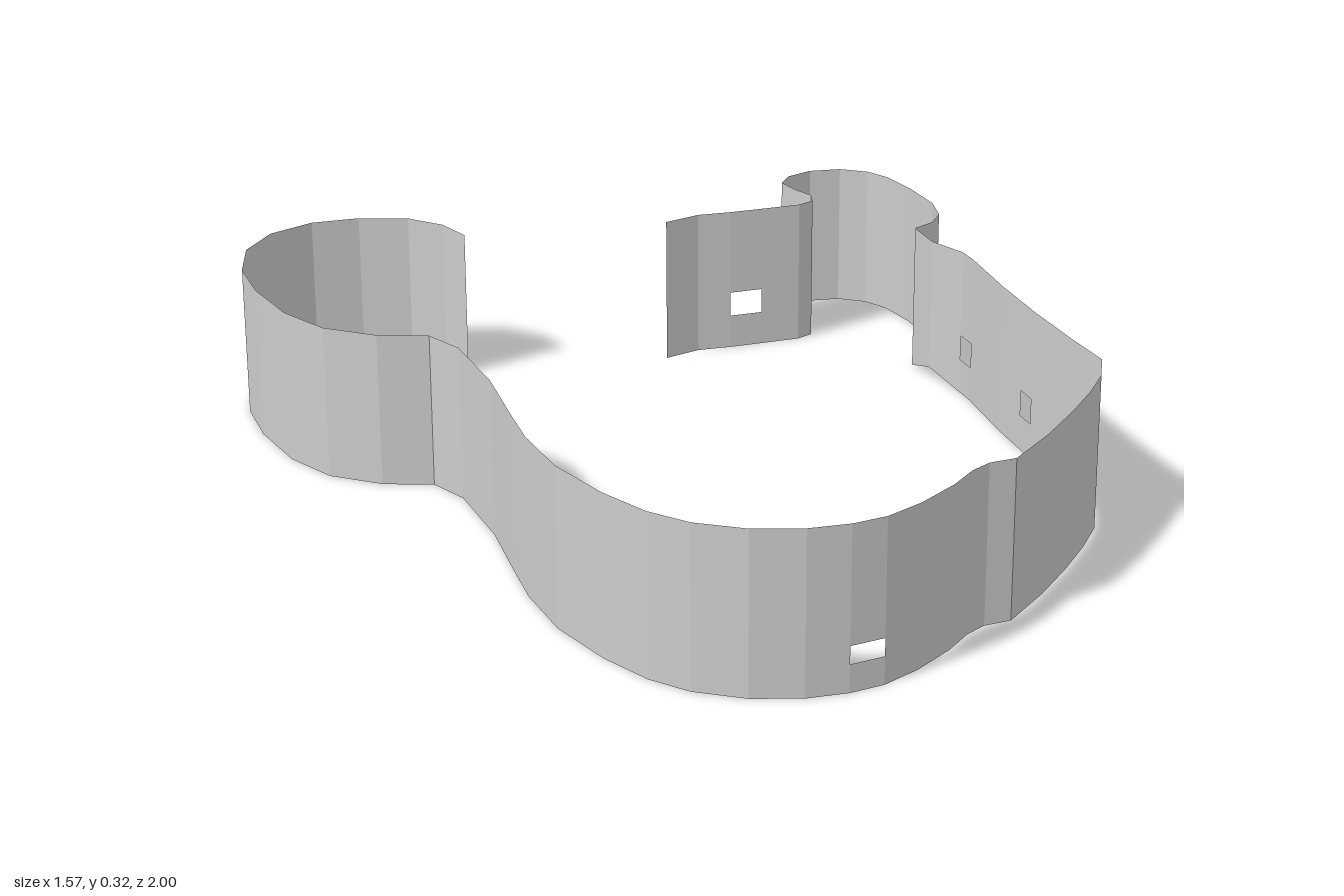
import * as THREE from 'three';

const HEIGHT = 0.32;

// Thin upright wall along a plan path. Each point is [x, z, base height, opening],
// where opening [low, high] cuts a window between this point and the next.
function wall(name, points) {
  const verts = [];
  const panel = (a, b, lowA, lowB, highA, highB) => {
    const p = [a[0], lowA, a[1]], q = [b[0], lowB, b[1]];
    const r = [b[0], highB, b[1]], s = [a[0], highA, a[1]];
    verts.push(...p, ...q, ...r, ...p, ...r, ...s);
  };
  for (let i = 0; i < points.length - 1; i++) {
    const a = points[i], b = points[i + 1];
    const baseA = a[2] || 0, baseB = b[2] || 0, opening = a[3];
    if (opening) {
      panel(a, b, baseA, baseB, opening[0], opening[0]);
      panel(a, b, opening[1], opening[1], HEIGHT, HEIGHT);
    } else {
      panel(a, b, baseA, baseB, HEIGHT, HEIGHT);
    }
  }
  const geometry = new THREE.BufferGeometry();
  geometry.setAttribute('position', new THREE.Float32BufferAttribute(verts, 3));
  geometry.computeVertexNormals();
  const mesh = new THREE.Mesh(geometry, new THREE.MeshStandardMaterial({
    color: 0xcccccc, flatShading: true, side: THREE.DoubleSide,
  }));
  mesh.name = name;
  return mesh;
}

export function createModel() {
  const group = new THREE.Group();
  group.name = 'curvedRibbonWall';
  const sideWindow = [0.075, 0.13];
  const frontWindow = [0.055, 0.09];

  // Large open hook at the back right
  group.add(wall('largeHook', [
    [-0.265, -0.78], [-0.285, -0.87], [-0.34, -0.945], [-0.44, -0.99], [-0.545, -1],
    [-0.65, -0.96], [-0.73, -0.87], [-0.775, -0.74], [-0.785, -0.6], [-0.77, -0.44],
    [-0.725, -0.32], [-0.64, -0.235], [-0.545, -0.19],
  ]));

  // Gently bowed right side
  group.add(wall('rightSide', [
    [-0.545, -0.19], [-0.515, -0.1], [-0.52, 0.1], [-0.545, 0.28], [-0.56, 0.4], [-0.56, 0.55],
  ]));

  // Rounded front with its low slot
  group.add(wall('frontCurve', [
    [-0.56, 0.55], [-0.53, 0.7], [-0.49, 0.81], [-0.44, 0.885], [-0.36, 0.95], [-0.27, 0.988],
    [-0.19, 1, 0, frontWindow], [-0.12, 0.995], [-0.04, 0.965], [0.05, 0.915],
    [0.11, 0.87], [0.155, 0.85], [0.21, 0.85],
  ]));

  // Slanted front corner
  group.add(wall('frontCorner', [
    [0.21, 0.85], [0.32, 0.77], [0.42, 0.685], [0.5, 0.61], [0.565, 0.54], [0.61, 0.465],
  ]));

  // Left side with two windows and a shallow notch underneath
  group.add(wall('leftSide', [
    [0.61, 0.465], [0.615, 0.34], [0.627, 0.165, 0, sideWindow], [0.633, 0.112],
    [0.645, 0], [0.672, -0.18, 0, sideWindow], [0.676, -0.235],
    [0.65, -0.33, 0.03], [0.66, -0.43],
  ]));

  // Small loop at the back left
  group.add(wall('smallLoop', [
    [0.66, -0.43], [0.715, -0.455], [0.755, -0.5], [0.78, -0.58], [0.785, -0.7], [0.778, -0.8],
    [0.755, -0.86], [0.705, -0.905], [0.635, -0.92], [0.57, -0.9], [0.535, -0.86],
    [0.54, -0.8], [0.555, -0.745], [0.54, -0.705], [0.5, -0.69],
  ]));

  // Free back end with a window
  group.add(wall('backEnd', [
    [0.5, -0.69], [0.41, -0.695, 0, sideWindow], [0.335, -0.7], [0.26, -0.71], [0.175, -0.69],
  ]));
  return group;
}
